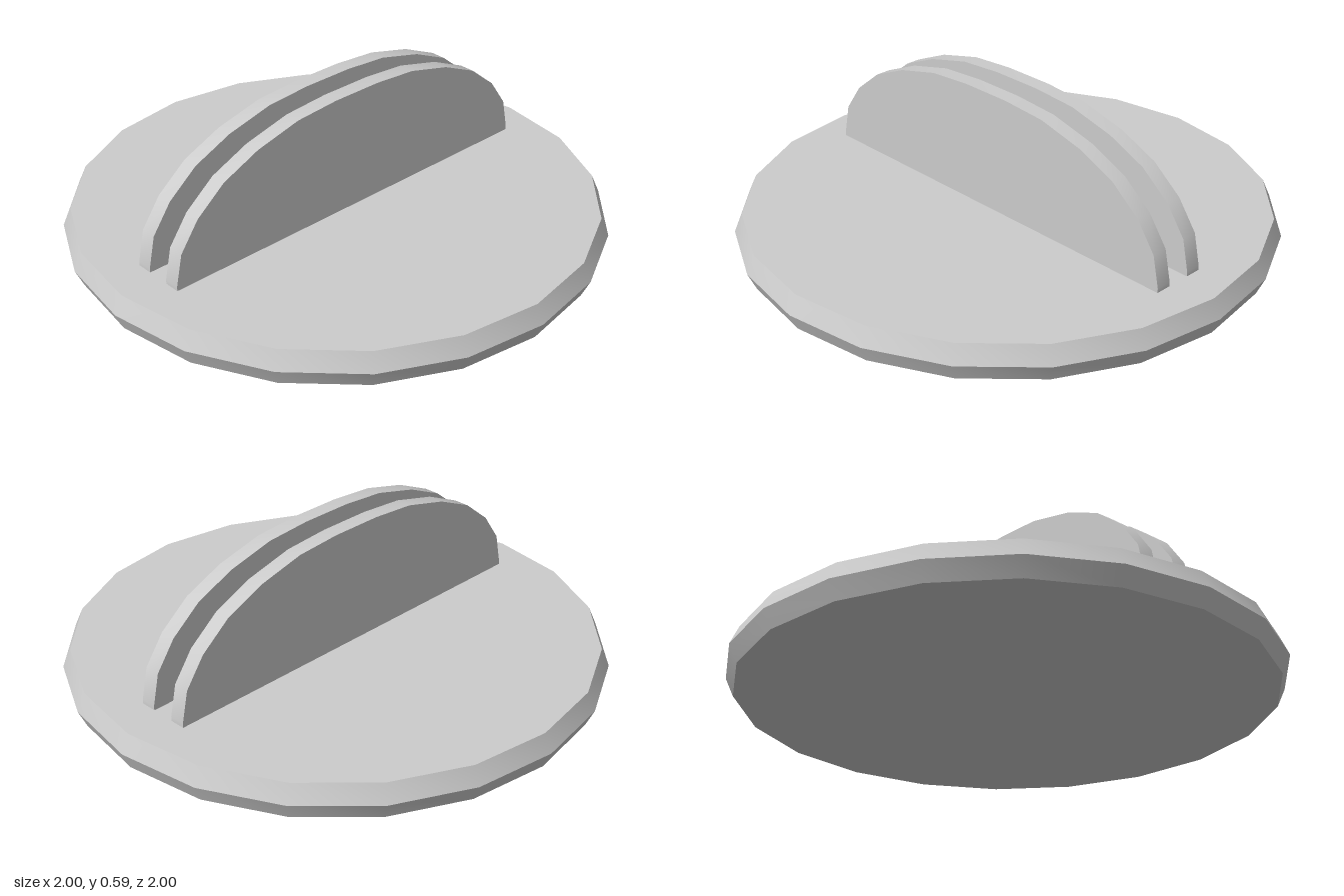
import * as THREE from 'three';
import { toCreasedNormals } from 'three/addons/utils/BufferGeometryUtils.js';

const CREASE = Math.PI / 6;

export function createModel() {
  const group = new THREE.Group();
  const material = new THREE.MeshStandardMaterial({ color: 0xcccccc });

  const add = (name, geometry) => {
    const mesh = new THREE.Mesh(toCreasedNormals(geometry, CREASE), material);
    mesh.name = name;
    group.add(mesh);
    return mesh;
  };

  // Twenty-sided round base with a bevelled rim
  const rim = [[0, 0], [0.97, 0], [1, 0.066], [0.97, 0.134], [0, 0.134]];
  add('base', new THREE.LatheGeometry(rim.map(([r, y]) => new THREE.Vector2(r, y)), 20));

  // Two upright arched plates, their outline mirrored about x = 0
  const half = [
    [0.82, 0.13], [0.82, 0.15], [0.795, 0.267], [0.72, 0.373],
    [0.605, 0.466], [0.455, 0.532], [0.275, 0.577], [0.1, 0.59],
  ];
  const outline = [...half, ...half.map(([x, y]) => [-x, y]).reverse()];
  const shape = new THREE.Shape(outline.map(([x, y]) => new THREE.Vector2(x, y)));
  for (const [name, z] of [['frontPlate', 0.048], ['backPlate', -0.102]]) {
    const plate = add(name, new THREE.ExtrudeGeometry(shape, { depth: 0.06, bevelEnabled: false }));
    plate.position.z = z;
  }
  return group;
}
